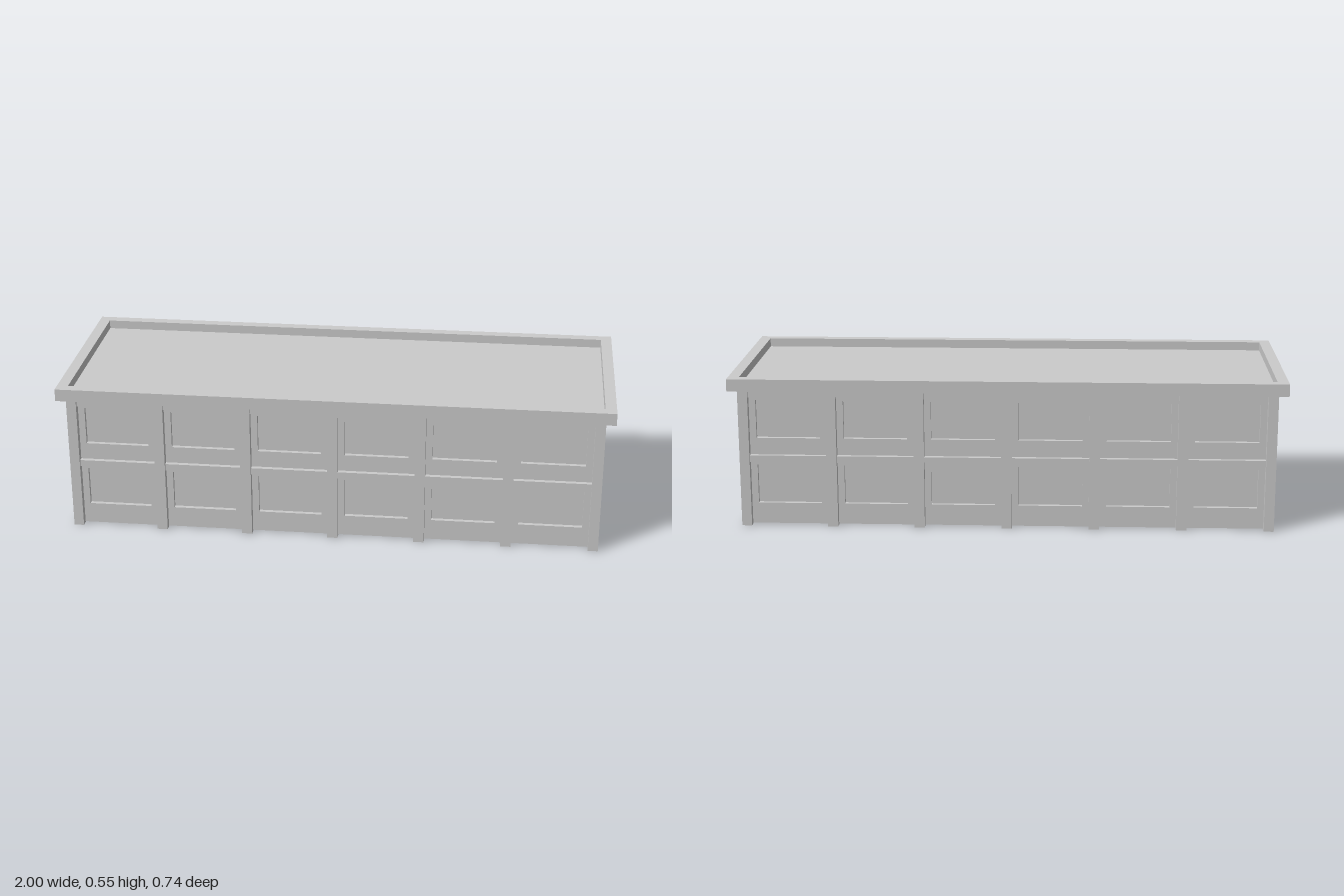
import * as THREE from 'three';

const material = new THREE.MeshStandardMaterial({ color: 0xcccccc, flatShading: true });

// Adds a box given by its min and max corners
function addBox(parent, name, [x0, y0, z0], [x1, y1, z1]) {
  const mesh = new THREE.Mesh(new THREE.BoxGeometry(x1 - x0, y1 - y0, z1 - z0), material);
  mesh.position.set((x0 + x1) / 2, (y0 + y1) / 2, (z0 + z1) / 2);
  mesh.name = name;
  parent.add(mesh);
}

function rectangle(x0, y0, x1, y1, Type = THREE.Shape) {
  return new Type([[x0, y0], [x1, y0], [x1, y1], [x0, y1]].map(p => new THREE.Vector2(...p)));
}

const BAY = 0.316;                                // spacing of the pillars
const BASE = 0.003;                               // underside of the walls
const BANDS = [[0.238, 0.263], [0.478, 0.506]];   // storey band and top band
const WINDOWS = [[0.08, 0.225], [0.325, 0.465]];

// Long wall with sunken windows, pillars and bands, facing +z
function createFacade(name) {
  const facade = new THREE.Group();
  facade.name = name;

  const wall = rectangle(-0.955, BASE, 0.955, 0.506);
  for (let bay = -2.5; bay <= 2.5; bay++) {
    for (const [y0, y1] of WINDOWS) {
      wall.holes.push(rectangle(bay * BAY - 0.115, y0, bay * BAY + 0.115, y1, THREE.Path));
    }
  }
  const skin = new THREE.Mesh(
    new THREE.ExtrudeGeometry(wall, { depth: 0.015, bevelEnabled: false }), material);
  skin.position.z = 0.315;
  skin.name = 'windowWall';
  facade.add(skin);

  // Inner pillars; the corner posts close the ends
  for (let i = -2; i <= 2; i++) {
    addBox(facade, 'pillar', [i * BAY - 0.019, 0, 0.325], [i * BAY + 0.019, 0.506, 0.355]);
  }
  for (const side of [-1, 1]) {
    const x = side * 0.947;
    addBox(facade, 'cornerPost', [x - 0.018, 0, 0.313], [x + 0.018, 0.506, 0.355]);
  }
  for (const [y0, y1] of BANDS) {
    addBox(facade, 'band', [-0.94, y0, 0.325], [0.94, y1, 0.346]);
  }
  return facade;
}

export function createModel() {
  const model = new THREE.Group();
  model.name = 'building';

  // Core gives the window backs, end walls, floor and sunken roof
  addBox(model, 'core', [-0.955, BASE, -0.315], [0.955, 0.515, 0.315]);

  const front = createFacade('frontFacade');
  const back = createFacade('backFacade');
  back.rotation.y = Math.PI;
  model.add(front, back);

  // Bands on the end walls, flush with the corner posts
  for (const side of [-1, 1]) {
    for (const [y0, y1] of BANDS) {
      const x = side * 0.9575;
      addBox(model, 'endBand', [x - 0.0075, y0, -0.313], [x + 0.0075, y1, 0.313]);
    }
  }

  // Overhanging parapet around the roof
  const ring = rectangle(-1, -0.368, 1, 0.368);
  ring.holes.push(rectangle(-0.96, -0.33, 0.96, 0.33, THREE.Path));
  const parapet = new THREE.Mesh(
    new THREE.ExtrudeGeometry(ring, { depth: 0.045, bevelEnabled: false }), material);
  parapet.rotation.x = -Math.PI / 2;
  parapet.position.y = 0.505;
  parapet.name = 'parapet';
  model.add(parapet);

  // Roof slab reaching the parapet's inner faces
  addBox(model, 'roof', [-0.962, 0.5, -0.332], [0.962, 0.518, 0.332]);

  return model;
}
